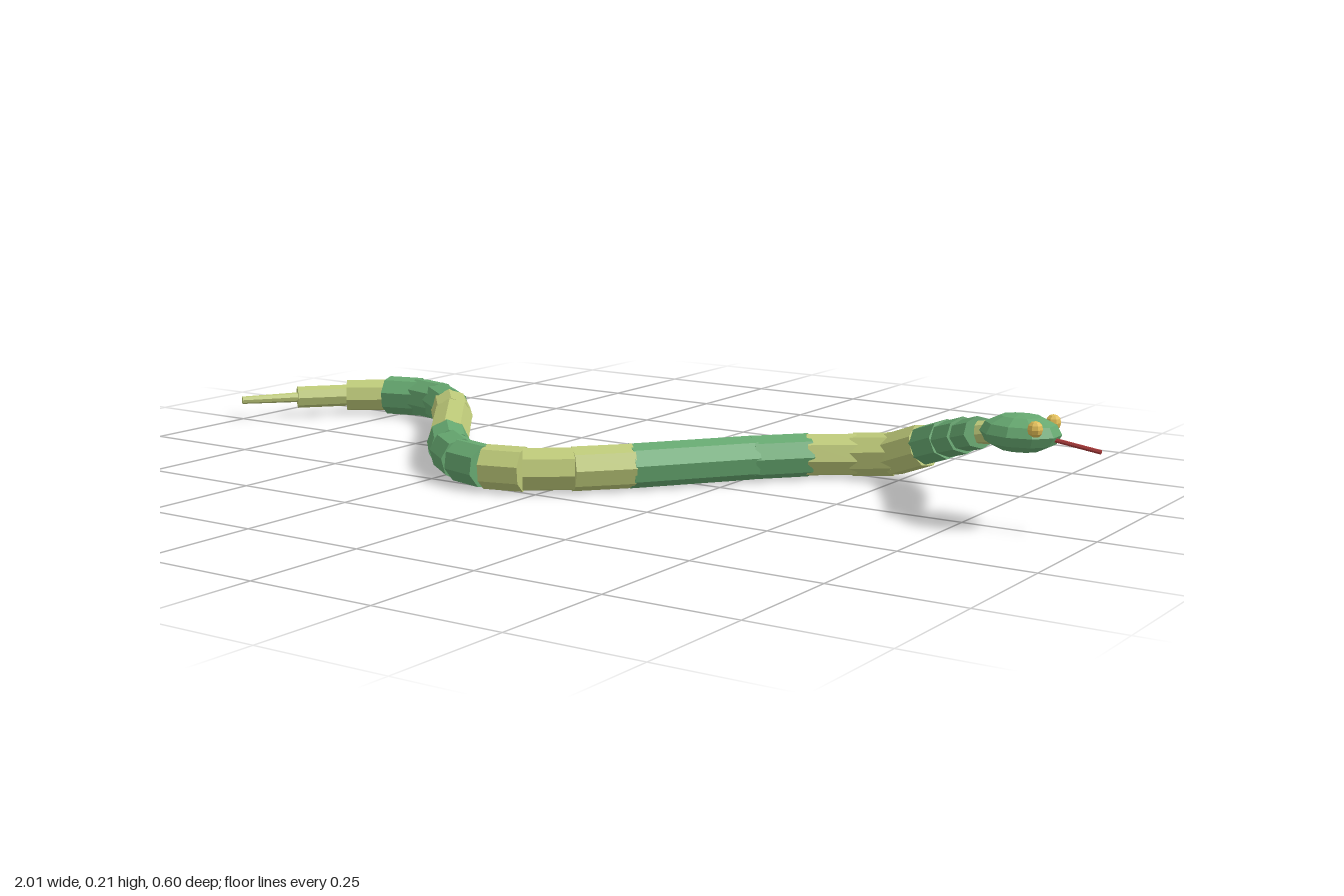
import * as THREE from 'three';

const UP = new THREE.Vector3(0, 1, 0);
const paint = (color) => new THREE.MeshStandardMaterial({ color, flatShading: true });

// Eight-sided rod running from a to b
function rod(name, a, b, rStart, rEnd, material, sides = 8, overlap = 1.05) {
  const dir = b.clone().sub(a);
  const geometry = new THREE.CylinderGeometry(rEnd, rStart, dir.length() * overlap, sides);
  const mesh = new THREE.Mesh(geometry, material);
  mesh.name = name;
  mesh.position.copy(a).add(b).multiplyScalar(0.5);
  mesh.quaternion.setFromUnitVectors(UP, dir.normalize());
  return mesh;
}

function ellipsoid(name, position, scale, material, w, h) {
  const mesh = new THREE.Mesh(new THREE.SphereGeometry(1, w, h), material);
  mesh.name = name;
  mesh.position.set(...position);
  mesh.scale.set(...scale);
  return mesh;
}

export function createModel() {
  const model = new THREE.Group();
  model.name = 'snake';
  const green = paint(0x66a870);
  const yellow = paint(0xbcc878);
  const amber = paint(0xe0bc55);
  const red = paint(0xa83a3a);

  // Winding body: one and a half waves, with the neck lifted
  const count = 24, radius = 0.0425, liftFrom = 19.8;
  const pointAt = (i) => new THREE.Vector3(
    -0.997 + 1.775 * i / count,
    radius + 0.122 * Math.max(0, (i - liftFrom) / (count - liftFrom)),
    -0.258 * Math.sin(3 * Math.PI * i / count)
  );
  const tailRadii = [0.011, 0.024, 0.036];
  const neckRadii = [0.038, 0.034, 0.029];

  const body = new THREE.Group();
  body.name = 'body';
  for (let i = 0; i < count; i++) {
    const r = tailRadii[i] ?? neckRadii[i - count + 3] ?? radius;
    const band = Math.floor(i / 3) % 2 ? green : yellow;
    body.add(rod('bodySegment', pointAt(i), pointAt(i + 1), i ? r : r * 0.75, r, band));
  }
  // Short collar joining neck and head
  const neckEnd = pointAt(count);
  body.add(rod('collar', neckEnd, new THREE.Vector3(0.82, 0.171, 0), 0.021, 0.021, yellow));
  model.add(body);

  // Flattened head, turned so a facet faces forward
  const head = new THREE.Group();
  head.name = 'head';
  const skull = ellipsoid('skull', [0.854, 0.173, 0], [0.06, 0.034, 0.072], green, 10, 6);
  skull.rotation.y = Math.PI / 2;
  head.add(skull);
  for (const side of [-1, 1]) {
    head.add(ellipsoid('eye', [0.897, 0.189, side * 0.039], [0.014, 0.0145, 0.014], amber, 8, 6));
  }

  // Tongue
  head.add(rod('tongue', new THREE.Vector3(0.9, 0.169, 0), new THREE.Vector3(1, 0.155, 0),
    0.004, 0.004, red, 6, 1));
  model.add(head);

  return model;
}
